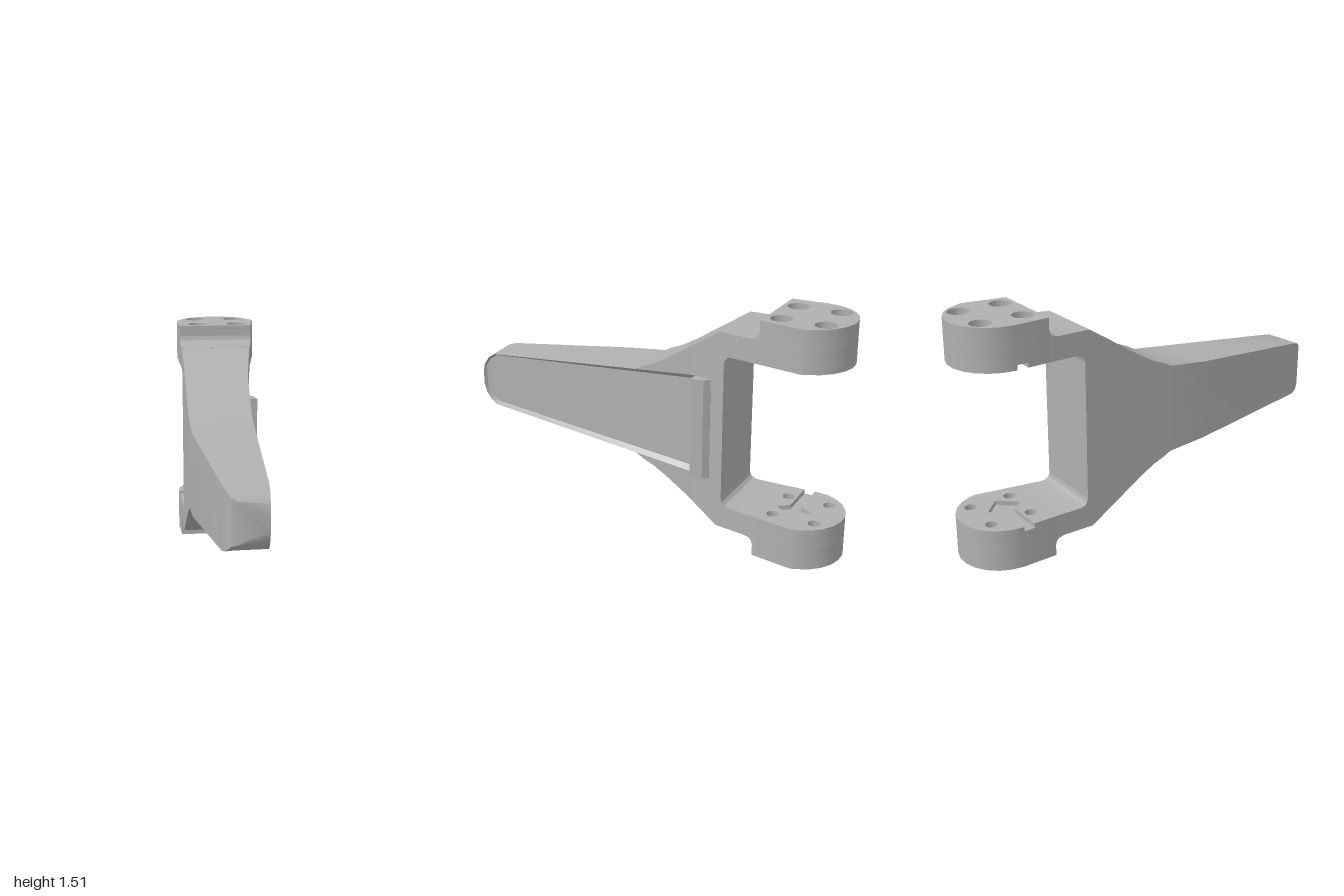
import * as THREE from 'three';
import { toCreasedNormals } from 'three/addons/utils/BufferGeometryUtils.js';

const HEIGHT = 1.515, MID = HEIGHT / 2;

// Front face of the arm, in the arm's own frame (x along arm, z across it)
const frontZ = (x) => (x < 0.3 ? 0.085 + (x + 1.3) * 0.0444 : 0.156 + (x - 0.3) * 0.159);
const rimHalf = (x) => 0.182 + 0.0925 * (x + 1.2);

export function createModel() {
  const model = new THREE.Group();
  const arm = new THREE.Group();
  arm.name = 'bracketArm';
  arm.rotation.y = Math.PI / 4;
  model.add(arm);

  const metal = new THREE.MeshStandardMaterial({ color: 0xb0b0b0 });
  metal.name = 'grey metal';

  const add = (name, geometry) => {
    const mesh = new THREE.Mesh(toCreasedNormals(geometry, 0.5), metal);
    mesh.name = name;
    arm.add(mesh);
  };
  const shapeOf = (pts) => new THREE.Shape(pts.map(([a, b]) => new THREE.Vector2(a, b)));

  // Extrude an (x, z) outline upwards between two heights
  const slab = (pts, y0, y1, holes = []) => {
    const shape = shapeOf(pts.map(([x, z]) => [x, -z]));
    holes.forEach(([x, z, r]) => {
      const path = new THREE.Path();
      path.absarc(x, -z, r, 0, Math.PI * 2, true);
      shape.holes.push(path);
    });
    const g = new THREE.ExtrudeGeometry(shape, { depth: y1 - y0, bevelEnabled: false, curveSegments: 8 });
    return g.rotateX(-Math.PI / 2).translate(0, y0, 0);
  };

  // Tapered arm and flared hub: x, back half height, front rim half height, back z, recess depth
  const stations = [
    [-1.3, 0.12, 0.05, -0.09, 0],
    [-1.285, 0.135, 0.1, -0.125, 0.02],
    [-1.25, 0.17, 0.15, -0.15, 0.028],
    [-1.2, 0.185, 0.182, -0.165, 0.028],
    [-0.346, 0.262, rimHalf(-0.346), -0.26, 0.028],
    [-0.08, 0.288, rimHalf(-0.08), -0.26, 0.028],
    [-0.02, 0.318, rimHalf(-0.02), -0.26, 0.028],
    [0.05, 0.345, rimHalf(0.05), -0.26, 0.028],
    [0.16, 0.407, rimHalf(0.16), -0.26, 0.028],
    [0.3, 0.498, rimHalf(0.3), -0.26, 0.028],
    [0.347, 0.528, rimHalf(0.347), -0.26, 0.03],
    [0.347, 0.528, rimHalf(0.347), -0.26, 0],
    [0.516, 0.637, rimHalf(0.516), -0.26, 0],
    [0.55, 0.637, rimHalf(0.55), -0.26, 0],
  ];
  const rings = stations.map(([x, back, rim, zb, depth]) => {
    const zf = frontZ(x);
    const outer = x < -0.05 ? rim : back;
    const inset = 0.014 + 0.01 * (x + 1.3);
    const half = [[zb, back], [zf, outer], [zf, rim], [zf - depth, rim - inset]];
    return [
      ...half.map(([z, h]) => [x, MID + h, z]),
      ...half.reverse().map(([z, h]) => [x, MID - h, z]),
    ];
  });
  const n = 8, index = [], last = (rings.length - 1) * n;
  for (let i = 0; i < rings.length - 1; i++) {
    for (let j = 0; j < n; j++) {
      const a = i * n + j, b = i * n + ((j + 1) % n);
      index.push(a, b, b + n, a, b + n, a + n);
    }
  }
  for (let j = 1; j < n - 1; j++) {
    index.push(0, j + 1, j, last, last + j, last + j + 1);
  }
  const body = new THREE.BufferGeometry();
  body.setAttribute('position', new THREE.Float32BufferAttribute(rings.flat(2), 3));
  body.setIndex(index);
  add('taperedArm', body);

  // Raised lip that closes the recessed panel
  add('panelLip', slab(
    [[0.347, 0.12], [0.347, 0.226], [0.428, 0.216], [0.46, 0.185], [0.46, 0.12]],
    MID - 0.325, MID + 0.325));

  // Fork arm profile in (x, y) with the fillets of the opening and of the step
  const forkProfile = [
    [0.55, 0.12], [0.725, 0.12], [0.755, 0.114], [0.777, 0.098], [0.785, 0.07],
    [0.785, 0.265], [0.6, 0.265], [0.575, 0.272], [0.557, 0.29], [0.55, 0.315],
  ];

  // Clamp boss outline in (x, z), optionally with the keyed groove in its back edge
  const bossOutline = (groove) => {
    const pts = [[0.785, -0.26], [0.785, 0.233], [1.054, 0.277]];
    for (let i = 0; i <= 10; i++) {
      const a = THREE.MathUtils.lerp(1.28, -Math.PI / 2, i / 10);
      pts.push([1.011 + 0.272 * Math.cos(a), 0.005 + 0.272 * Math.sin(a)]);
    }
    if (groove) {
      pts.push([1.0, -0.266], [1.0, -0.02], [1.09, 0.02], [0.98, 0.13],
        [0.86, 0.03], [0.93, -0.02], [0.93, -0.264]);
    }
    return pts;
  };
  const boltHoles = (r) => [-1, 1].flatMap((i) => [-1, 1].map((j) => [1.011 + i * 0.134, 0.007 + j * 0.134, r]));

  // Boss layers: bottom, top, hole radius, groove
  const layers = [
    [0, 0.13, 0.066, false],
    [0.13, 0.235, 0.038, false],
    [0.235, 0.265, 0.038, true],
  ];

  for (const [side, upper] of [['lower', false], ['upper', true]]) {
    const flip = (y) => (upper ? HEIGHT - y : y);
    const fork = new THREE.ExtrudeGeometry(
      shapeOf(forkProfile.map(([x, y]) => [x, flip(y)])), { depth: 1, bevelEnabled: false });
    const p = fork.attributes.position;
    for (let i = 0; i < p.count; i++) {
      p.setZ(i, THREE.MathUtils.lerp(-0.26, frontZ(p.getX(i)), p.getZ(i)));
    }
    add(side + 'ForkArm', fork);

    layers.forEach(([y0, y1, r, groove], i) => {
      const [lo, hi] = [flip(y0), flip(y1)].sort((a, b) => a - b);
      add(side + 'BossLayer' + (i + 1), slab(bossOutline(groove), lo, hi, boltHoles(r)));
    });
  }
  return model;
}
